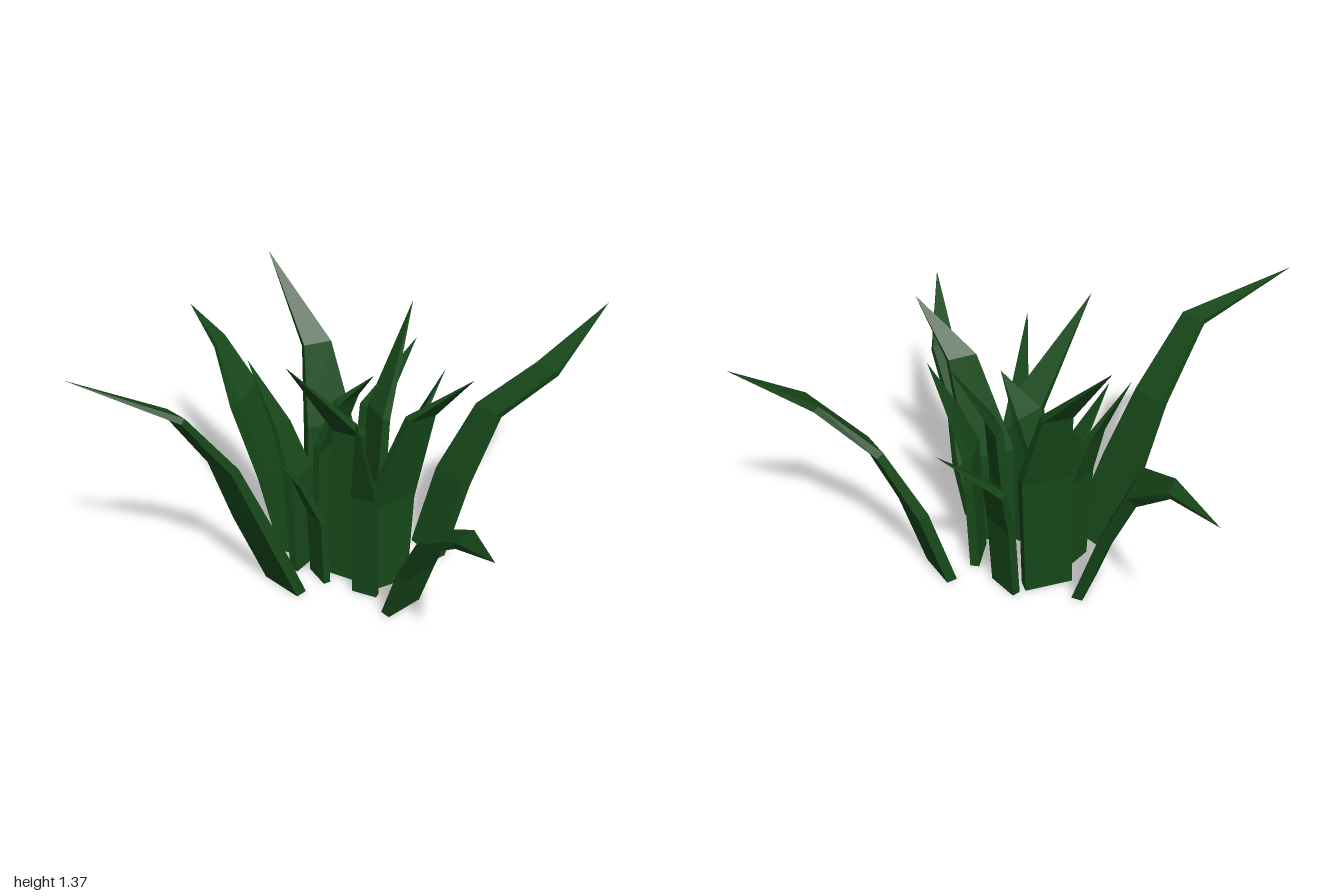
import * as THREE from 'three';

// Each blade: turn of its width about y in degrees, root [x, z],
// bends [x, y, z, width], tip [x, y, z].
const outerBlades = [
  [90, [-.29, -.19], [-.41, .38, -.235, .2], [-.55, .73, -.285, .22], [-.75, .895, -.45, .1], [-1, .94, -.67]],
  [35, [.32, -.32], [.41, .4, -.385, .19], [.545, .74, -.47, .14], [.785, .96, -.545, .12], [1, 1.2, -.79]],
  [26, [-.21, .12], [-.32, .4, .22, .21], [-.41, .74, .315, .16], [-.53, 1.07, .51, .11], [-.89, 1.28, .73]],
  [-60, [.31, .115], [.39, .27, .16, .19], [.49, .53, .28, .16], [.665, .69, .44, .12], [.86, .86, .79]],
];
const innerBlades = [
  [-40, [-.13, -.215], [-.14, .65, -.27, .22], [-.22, 1.02, -.335, .13], [-.5, 1.37, -.48]],
  [10, [.02, -.03], [.02, .45, -.04, .16], [.04, .8, -.03, .15], [-.14, 1.23, .28]],
  [47, [.09, -.17], [.09, .5, -.17, .16], [.1, .8, -.2, .15], [.18, 1.23, -.48]],
  [6, [.15, .07], [.15, .55, .1, .12], [.17, 1.05, .31]],
  [-46, [.19, -.03], [.21, .48, -.03, .22], [.35, .95, 0, .13], [.59, 1.18, .05]],
  [78, [.2, -.18], [.22, .6, -.18, .16], [.29, .8, -.2, .1], [.4, 1.05, -.235]],
  [-73, [-.18, -.04], [-.2, .5, -.035, .16], [-.28, .75, -.035, .1], [-.44, 1.05, -.04]],
  [-66, [-.14, -.18], [-.14, .6, -.19, .15], [-.04, .87, -.18, .13], [.11, 1.02, -.13]],
  [28, [.01, -.31], [.01, .4, -.35, .15], [0, .66, -.44, .13], [.15, .94, -.68]],
  [41, [-.08, .02], [-.09, .35, .03, .13], [-.15, .58, .12, .09], [-.24, .8, .27]],
];

// Thin strap with a four-sided cross-section that ends in a point.
function bladeGeometry([turn, [rootX, rootZ], ...bends]) {
  // The root is as wide as the first bend.
  const rows = [[rootX, 0, rootZ, bends[0][3]], ...bends];
  const centres = rows.map(([x, y, z]) => new THREE.Vector3(x, y, z));
  const last = centres.length - 1;
  const tip = centres[last];
  const up = new THREE.Vector3(0, 1, 0);
  const lean = tip.clone().sub(centres[0]).setY(0);
  const angle = THREE.MathUtils.degToRad(turn);
  const side = new THREE.Vector3(Math.cos(angle), 0, Math.sin(angle));
  if (side.dot(up.clone().cross(lean)) < 0) side.negate();

  const rings = centres.slice(0, last).map((c, i) => {
    const w = rows[i][3];
    const along = i === 0 ? up : centres[i + 1].clone().sub(centres[i - 1]);
    const outward = side.clone().cross(along).normalize();
    const corner = (s, depth) => c.clone().addScaledVector(side, s * w / 2).addScaledVector(outward, depth * w);
    return [corner(-1, 0.24), corner(1, 0.24), corner(1, -0.02), corner(-1, -0.02)];
  });

  const [p, q, r, s] = rings[0];
  const points = [r, q, p, s, r, p]; // root cap
  rings.forEach((a, i) => {
    const b = rings[i + 1];
    for (let j = 0; j < 4; j++) {
      const k = (j + 1) % 4;
      if (b) points.push(a[j], a[k], b[k], a[j], b[k], b[j]);
      else points.push(a[j], a[k], tip);
    }
  });
  const geometry = new THREE.BufferGeometry().setFromPoints(points);
  geometry.computeVertexNormals();
  return geometry;
}

export function createModel() {
  const group = new THREE.Group();
  group.name = 'grassTuft';
  const green = new THREE.MeshStandardMaterial({ color: 0x17491a, flatShading: true });
  const addBlades = (blades, name) => blades.forEach((blade, i) => {
    const mesh = new THREE.Mesh(bladeGeometry(blade), green);
    mesh.name = name + (i + 1);
    group.add(mesh);
  });
  addBlades(outerBlades, 'outerBlade');
  addBlades(innerBlades, 'innerBlade');
  return group;
}
